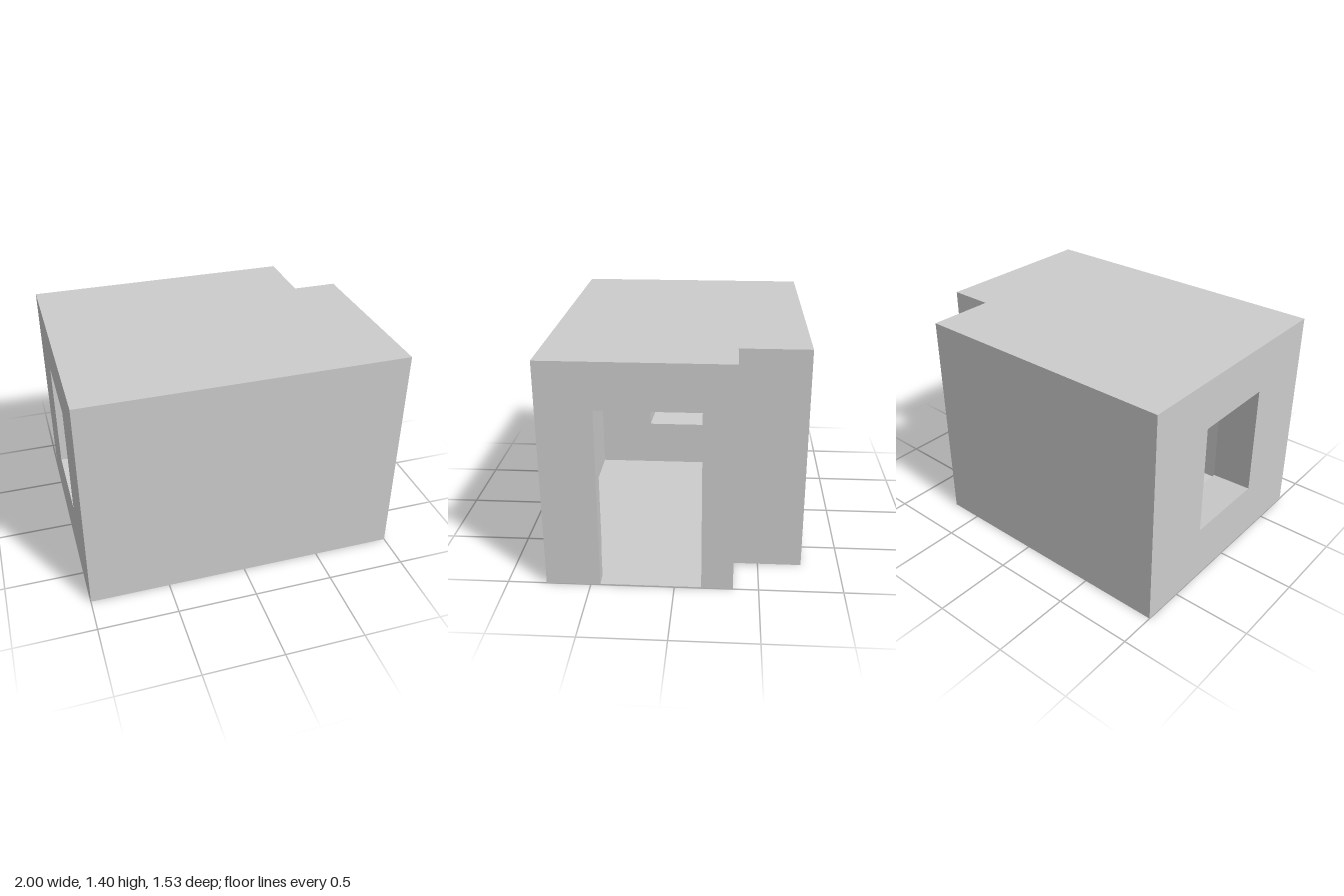
import * as THREE from 'three';

const X = 1, Z = 0.767;                 // half width and half depth
const NX = 0.715, NZ = -0.348;          // inside corner of the rear notch
const FLOOR = 0.006, CEILING = 1.31, TOP = 1.4, WALL = 0.09;

export function createModel() {
  const model = new THREE.Group();
  model.name = 'room';
  const plaster = new THREE.MeshStandardMaterial({ color: 0xcccccc });
  plaster.name = 'lightGrey';

  const add = (name, geometry) => {
    const mesh = new THREE.Mesh(geometry, plaster);
    mesh.name = name;
    model.add(mesh);
    return mesh;
  };

  // Box given by its extents on each axis
  const block = (name, x0, x1, z0, z1, y0 = 0, y1 = CEILING) => {
    const g = new THREE.BoxGeometry(x1 - x0, y1 - y0, z1 - z0);
    g.translate((x0 + x1) / 2, (y0 + y1) / 2, (z0 + z1) / 2);
    return add(name, g);
  };

  // Slab with the room's notched outline
  const slab = (name, y0, y1) => {
    const plan = [[-X, -Z], [X, -Z], [X, -NZ], [NX, -NZ], [NX, Z], [-X, Z]];
    const shape = new THREE.Shape(plan.map(([x, y]) => new THREE.Vector2(x, y)));
    const g = new THREE.ExtrudeGeometry(shape, { depth: y1 - y0, bevelEnabled: false });
    g.rotateX(-Math.PI / 2);
    g.translate(0, y0, 0);
    return add(name, g);
  };

  slab('floor', 0, FLOOR);
  slab('roof', CEILING, TOP);

  // Thick left wall with a window that widens towards the inside
  const thick = 0.28, winZ = 0.28, winY0 = 0.36, winY1 = 1.085, splayZ = 0.025, splayY = 0.033;
  const rect = (Type, x0, x1, y0, y1) => new Type([
    new THREE.Vector2(x0, y0), new THREE.Vector2(x1, y0),
    new THREE.Vector2(x1, y1), new THREE.Vector2(x0, y1),
  ]);
  const face = rect(THREE.Shape, -Z, Z, 0, CEILING);
  face.holes.push(rect(THREE.Path, -winZ, winZ, winY0, winY1));
  const wall = new THREE.ExtrudeGeometry(face, { depth: thick, bevelEnabled: false });
  const p = wall.attributes.position, midY = (winY0 + winY1) / 2;
  for (let i = 0; i < p.count; i++) {
    const isWindow = Math.abs(p.getX(i)) < winZ + 0.01;
    if (!isWindow || p.getZ(i) < thick / 2) continue;
    p.setX(i, p.getX(i) + Math.sign(p.getX(i)) * splayZ);
    p.setY(i, p.getY(i) + Math.sign(p.getY(i) - midY) * splayY);
  }
  wall.computeVertexNormals();
  wall.rotateY(Math.PI / 2);
  wall.translate(-X, 0, 0);
  add('leftWindowWall', wall);

  // Front and back walls
  const inner = -X + thick;
  block('frontWall', inner, X, Z - WALL, Z);
  block('backWall', inner, NX, -Z, -Z + WALL);

  // Thin walls around the notch
  block('notchSideWall', NX - 0.035, NX, -Z + WALL, NZ + 0.045);
  block('notchBackWall', NX, X - WALL, NZ, NZ + 0.045);

  // Right wall with the doorway
  const doorZ0 = -0.16, doorZ1 = 0.443, doorTop = 1.12;
  block('doorWallRear', X - WALL, X, NZ, doorZ0);
  block('doorWallFront', X - WALL, X, doorZ1, Z - WALL);
  block('doorLintel', X - WALL, X, doorZ0, doorZ1, doorTop, CEILING);

  // Column in the front right corner
  block('cornerColumn', 0.58, X - WALL, 0.5, Z - WALL);

  return model;
}
